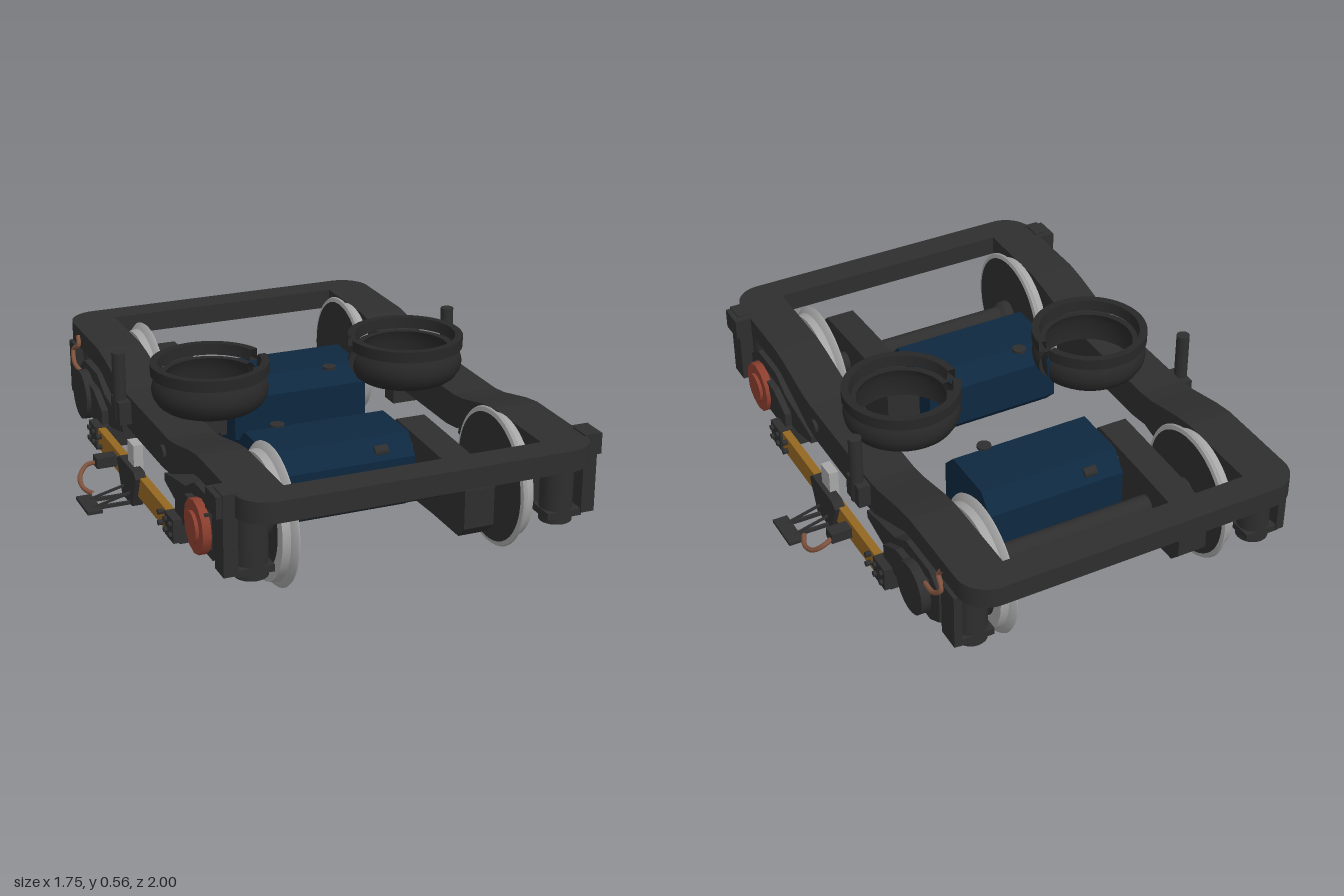
import * as THREE from 'three';
import { toCreasedNormals } from 'three/addons/utils/BufferGeometryUtils.js';

const mat = (name, color, side = THREE.FrontSide) => {
  const m = new THREE.MeshStandardMaterial({ color, side });
  m.name = name;
  return m;
};
const V = (x, y, z) => new THREE.Vector3(x, y, z);

export function createModel() {
  const root = new THREE.Group();
  root.name = 'railBogie';
  const dark = mat('frameGrey', 0x2e2e2e);
  const rubber = mat('rubberBlack', 0x272727, THREE.DoubleSide);
  const steel = mat('brightSteel', 0xa6a6a6);
  const blue = mat('motorBlue', 0x0d2840);
  const red = mat('bearingRed', 0x8c3e2e);
  const ochre = mat('beamOchre', 0x946722);
  const copper = mat('cableCopper', 0x80533e);

  const add = (name, geo, m, x = 0, y = 0, z = 0, parent = root) => {
    const mesh = new THREE.Mesh(geo, m);
    mesh.name = name;
    mesh.position.set(x, y, z);
    parent.add(mesh);
    return mesh;
  };
  const box = (name, w, h, d, m, x, y, z, parent) =>
    add(name, new THREE.BoxGeometry(w, h, d), m, x, y, z, parent);
  const post = (name, r, h, m, x, y, z, parent) =>
    add(name, new THREE.CylinderGeometry(r, r, h, 24), m, x, y, z, parent);
  // cylinder lying along x
  const pin = (name, r, len, m, x, y, z, parent, seg = 32) =>
    add(name, new THREE.CylinderGeometry(r, r, len, seg).rotateZ(Math.PI / 2), m, x, y, z, parent);
  // profile given as [z, y] points, extruded along x and centred on it
  const slab = (name, pts, width, m, x, parent) => {
    const shape = new THREE.Shape(pts.map(p => new THREE.Vector2(...p)));
    const g = new THREE.ExtrudeGeometry(shape, { depth: width, bevelEnabled: false });
    return add(name, g.translate(0, 0, -width / 2).rotateY(-Math.PI / 2), m, x, 0, 0, parent);
  };
  const lathe = (pts, seg = 48, start = 0, len = Math.PI * 2) => toCreasedNormals(
    new THREE.LatheGeometry(pts.map(p => new THREE.Vector2(...p)), seg, start, len), 0.6);

  // U-shaped frame ends with rounded outer corners
  for (const a of [0, Math.PI]) {
    const s = new THREE.Shape();
    s.moveTo(-0.63, 0.56);
    s.lineTo(-0.63, 0.89);
    s.absarc(-0.52, 0.89, 0.11, Math.PI, Math.PI / 2, true);
    s.lineTo(0.52, 1);
    s.absarc(0.52, 0.89, 0.11, Math.PI / 2, 0, true);
    s.lineTo(0.63, 0.56);
    s.lineTo(0.46, 0.56);
    s.lineTo(0.46, 0.89);
    s.lineTo(-0.46, 0.89);
    s.lineTo(-0.46, 0.56);
    const g = new THREE.ExtrudeGeometry(s, { depth: 0.075, bevelEnabled: false, curveSegments: 10 });
    add('frameEnd', toCreasedNormals(g.rotateX(Math.PI / 2), 0.6), dark, 0, 0.457, 0).rotation.y = a;
  }

  // Side rails dipping under the air springs
  const half = [[0.56, 0.457], [0.48, 0.445], [0.32, 0.408], [0.25, 0.4]];
  const halfLow = [[0.2, 0.27], [0.28, 0.28], [0.52, 0.375], [0.56, 0.382]];
  const rail = [
    ...half, ...half.map(([z, y]) => [-z, y]).reverse(),
    ...halfLow.map(([z, y]) => [-z, y]).reverse(), ...halfLow,
  ];

  // Axle box with its arm, mirrored front to back by e
  const axleBox = e => [
    [0.24, 0.27], [0.34, 0.29], [0.46, 0.31], [0.55, 0.36], [0.72, 0.36], [0.79, 0.31],
    [0.79, 0.19], [0.72, 0.15], [0.58, 0.15], [0.5, 0.19], [0.36, 0.21], [0.24, 0.24],
  ].map(([z, y]) => [z * e, y]);

  // Wheelsets
  const tire = lathe([[0.228, 0], [0.243, 0.004], [0.247, 0.01], [0.24, 0.018], [0.224, 0.028],
    [0.218, 0.055], [0.175, 0.055], [0.17, 0.04]], 64);
  const disc = lathe([[0, 0], [0.228, 0]], 64);
  const web = lathe([[0.172, 0.044], [0.15, 0.032], [0.08, 0.034], [0.065, 0.06], [0, 0.06]]);
  for (const e of [1, -1]) {
    const set = new THREE.Group();
    set.name = 'wheelset';
    set.position.set(0, 0.247, 0.65 * e);
    root.add(set);
    pin('axle', 0.04, 1.2, dark, 0, 0, 0, set);
    for (const s of [1, -1]) {
      const wheel = new THREE.Group();
      wheel.name = 'wheel';
      wheel.position.x = 0.4 * s;
      wheel.rotation.z = -s * Math.PI / 2;
      set.add(wheel);
      add('tire', tire, steel, 0, 0, 0, wheel);
      add('wheelBack', disc, dark, 0, 0, 0, wheel);
      add('wheelWeb', web, dark, 0, 0, 0, wheel);
      add('hub', lathe([[0.04, -0.05], [0.055, -0.03], [0.055, 0]], 32), dark, 0, 0, 0, wheel);
    }
  }

  // Motor and gearbox, repeated turned half around
  for (const a of [0, Math.PI]) {
    const drive = new THREE.Group();
    drive.name = 'drive';
    drive.position.x = -0.02;
    drive.rotation.y = a;
    root.add(drive);
    slab('motor', [[0.25, 0.1], [0.45, 0.1], [0.52, 0.16], [0.52, 0.31], [0.46, 0.38], [0.25, 0.38],
      [0.19, 0.32], [0.19, 0.16]], 0.53, blue, -0.065, drive);
    slab('gearbox', [[0.32, 0.12], [0.62, 0.13], [0.82, 0.13], [0.86, 0.17], [0.86, 0.31], [0.82, 0.35],
      [0.62, 0.36], [0.32, 0.37], [0.28, 0.33], [0.28, 0.16]], 0.11, dark, 0.275, drive);
    box('motorCoupling', 0.03, 0.18, 0.18, dark, 0.21, 0.24, 0.37, drive);
    post('motorPlug', 0.026, 0.01, dark, -0.2, 0.38, 0.235, drive);
    pin('motorLug', 0.02, 0.05, dark, 0.08, 0.335, 0.487, drive);
  }

  for (const s of [1, -1]) {
    slab('sideRail', rail, 0.17, dark, 0.545 * s);

    // Air spring: hollow bellows and collar, split on the inner side
    const start = s > 0 ? Math.PI * 1.5 : Math.PI / 2 + 0.28;
    const span = Math.PI * 2 - 0.28;
    add('airSpringBellows', lathe([[0.17, 0.4], [0.19, 0.415], [0.205, 0.44], [0.21, 0.465],
      [0.203, 0.495], [0.185, 0.515], [0.16, 0.515], [0.18, 0.47], [0.17, 0.4]], 48, start, span),
    rubber, 0.383 * s);
    add('airSpringCollar', lathe([[0.178, 0.522], [0.212, 0.522], [0.212, 0.563], [0.184, 0.563],
      [0.178, 0.522]], 48, start, span), rubber, 0.383 * s);

    // Levelling post, its bracket and the rail pin
    post('levellingPost', 0.024, 0.26, dark, 0.657 * s, 0.435, -0.205);
    box('postBracket', 0.05, 0.085, 0.1, dark, 0.65 * s, 0.345, -0.205);
    pin('railPin', 0.026, 0.02, dark, 0.632 * s, 0.335, 0.21);

    for (const e of [1, -1]) {
      // Axle box and primary suspension
      slab('axleBox', axleBox(e), 0.15, dark, 0.565 * s);
      slab('axleBoxCover', [[0.42, 0.2], [0.5, 0.19], [0.72, 0.19], [0.72, 0.32], [0.52, 0.31],
        [0.42, 0.26]].map(([z, y]) => [z * e, y]), 0.03, dark, 0.65 * s);
      post('suspensionColumn', 0.057, 0.25, dark, 0.555 * s, 0.27, 0.845 * e);
      box('columnFoot', 0.13, 0.025, 0.15, dark, 0.56 * s, 0.18, 0.825 * e);

      // Beam end bracket with bolts
      box('beamBracket', 0.14, 0.09, 0.08, dark, 0.605 * s, 0.16, 0.45 * e);
      box('beamEndPlate', 0.05, 0.086, 0.09, dark, 0.672 * s, 0.163, 0.445 * e);
      for (const z of [0.36, 0.42, 0.47]) for (const y of [0.145, 0.185]) {
        pin('beamBolt', 0.01, 0.02, dark, 0.698 * s, y, z * e, root, 8);
      }
    }

    // Bearing ends: red at the front, dark at the back
    pin('bearingCap', 0.095, 0.03, red, 0.665 * s, 0.25, 0.65, root, 12);
    pin('bearingCapCentre', 0.055, 0.02, red, 0.682 * s, 0.25, 0.65);
    pin('rearBearingCover', 0.095, 0.035, dark, 0.665 * s, 0.25, -0.65);
    box('frontGuard', 0.05, 0.285, 0.08, dark, 0.645 * s, 0.32, 0.865);
    box('frontGuardCap', 0.08, 0.075, 0.1, dark, 0.65 * s, 0.42, 0.85);
    box('rearGuard', 0.03, 0.21, 0.09, dark, 0.63 * s, 0.28, -0.86);

    // Collector beam and shoe
    box('collectorBeam', 0.03, 0.08, 0.82, ochre, 0.673 * s, 0.163, 0);
    slab('shoeBracket', [[0.11, 0.2], [0.09, 0.22], [-0.08, 0.22], [-0.11, 0.2], [-0.06, 0.08],
      [0.06, 0.08]], 0.04, dark, 0.685 * s);
    box('shoeFuse', 0.035, 0.1, 0.07, steel, 0.67 * s, 0.25, 0.005);
    for (const z of [-0.035, 0.035]) {
      box('shoeArm', 0.14, 0.012, 0.012, dark, 0.76 * s, 0.085, z);
      const stay = box('shoeStay', 0.15, 0.008, 0.008, dark, 0.765 * s, 0.107, z);
      stay.rotation.z = -0.25 * s;
    }
    box('contactShoe', 0.055, 0.012, 0.15, dark, 0.845 * s, 0.085, 0);
    box('cableTerminal', 0.08, 0.04, 0.05, dark, 0.725 * s, 0.165, -0.185);

    // Cables
    const cable = (name, pts) => add(name, new THREE.TubeGeometry(
      new THREE.CatmullRomCurve3(pts.map(([x, y, z]) => V(x * s, y, z))), 24, 0.009, 8), copper);
    cable('shoeCable', [[0.75, 0.16, -0.19], [0.79, 0.15, -0.205], [0.825, 0.12, -0.18],
      [0.832, 0.1, -0.12], [0.81, 0.095, -0.06]]);
    cable('bearingCable', [[0.655, 0.315, -0.72], [0.66, 0.33, -0.79], [0.65, 0.37, -0.83],
      [0.64, 0.4, -0.79], [0.635, 0.43, -0.81]]);
  }
  return root;
}
